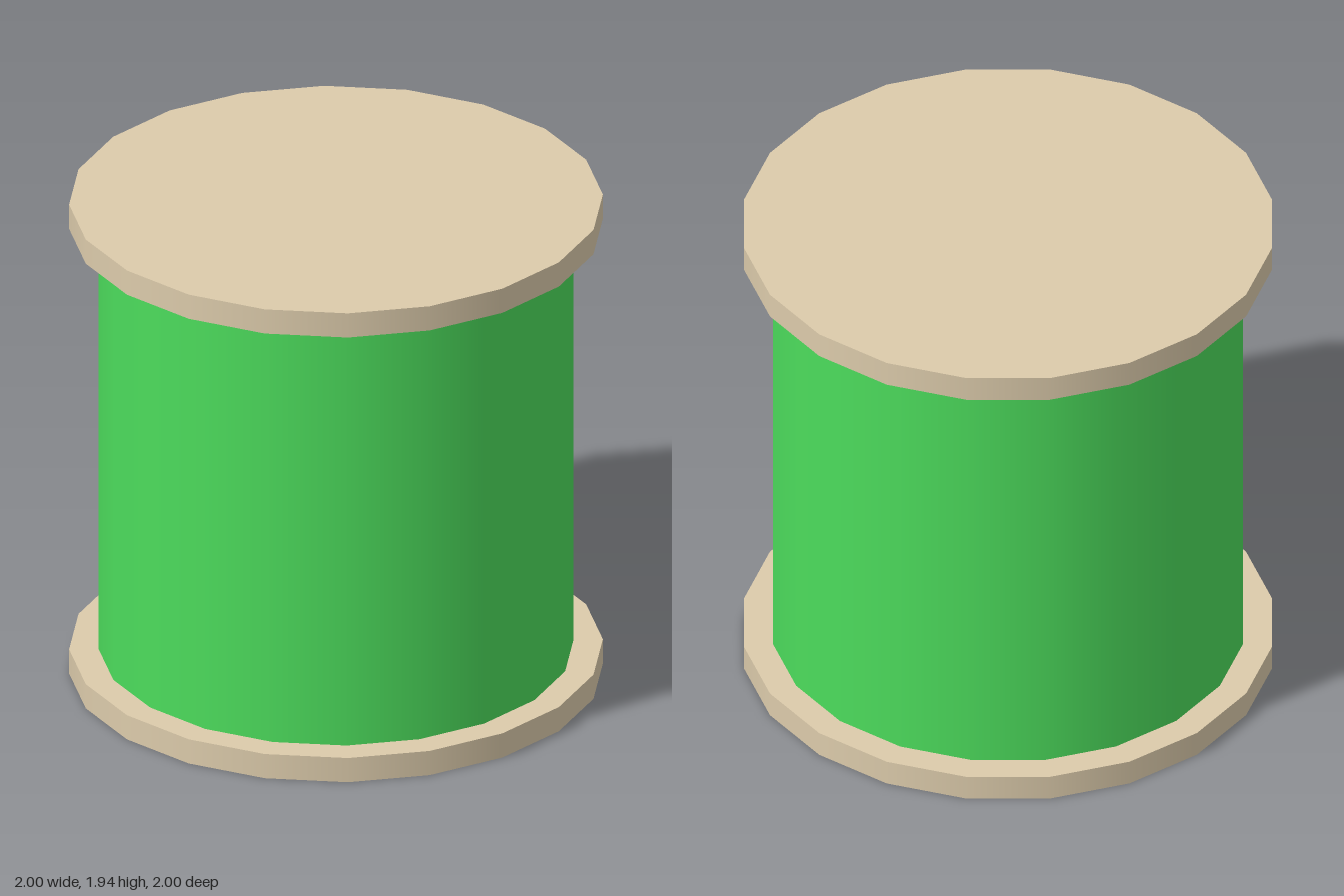
import * as THREE from 'three';

const SIDES = 20;
const FLANGE_HEIGHT = 0.1;
const TOTAL_HEIGHT = 1.94;

export function createModel() {
  const spool = new THREE.Group();
  spool.name = 'spool';

  const wood = new THREE.MeshStandardMaterial({ color: 0xdccbab });
  const thread = new THREE.MeshStandardMaterial({ color: 0x4cdc5c });

  // Adds a smooth-sided upright drum spanning bottom..top
  const addDrum = (name, radius, bottom, top, material) => {
    const geometry = new THREE.CylinderGeometry(radius, radius, top - bottom, SIDES);
    const mesh = new THREE.Mesh(geometry, material);
    mesh.name = name;
    mesh.position.y = (bottom + top) / 2;
    spool.add(mesh);
  };

  // Wooden end discs with the wound thread between them
  addDrum('bottomFlange', 1, 0, FLANGE_HEIGHT, wood);
  addDrum('threadWinding', 0.89, FLANGE_HEIGHT, TOTAL_HEIGHT - FLANGE_HEIGHT, thread);
  addDrum('topFlange', 1, TOTAL_HEIGHT - FLANGE_HEIGHT, TOTAL_HEIGHT, wood);

  return spool;
}
